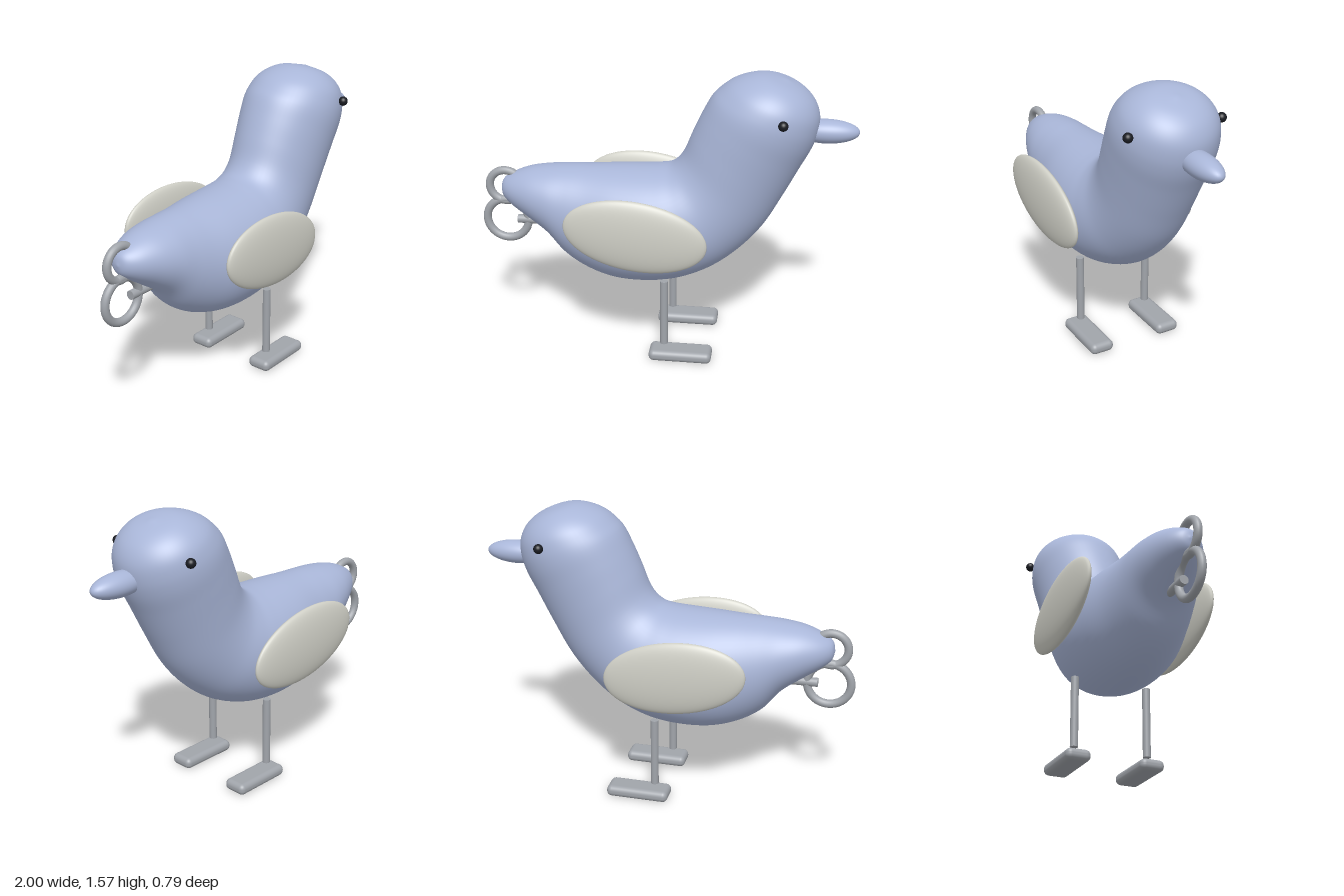
import * as THREE from 'three';
import { mergeVertices } from 'three/addons/utils/BufferGeometryUtils.js';
import { RoundedBoxGeometry } from 'three/addons/geometries/RoundedBoxGeometry.js';

const mat = (name, color) => {
  const m = new THREE.MeshStandardMaterial({ color });
  m.name = name;
  return m;
};

// Body cross-sections from tail to crown: upper x, y, lower x, y, half width
const SECTIONS = [
  [-0.885, 0.88, -0.885, 0.88, 0],
  [-0.87, 0.93, -0.87, 0.83, 0.05],
  [-0.82, 0.965, -0.82, 0.785, 0.1],
  [-0.73, 1.0, -0.71, 0.71, 0.155],
  [-0.62, 1.018, -0.62, 0.64, 0.19],
  [-0.5, 1.027, -0.53, 0.53, 0.215],
  [-0.4, 1.03, -0.42, 0.455, 0.24],
  [-0.25, 1.037, -0.27, 0.405, 0.28],
  [-0.12, 1.042, -0.1, 0.395, 0.298],
  [-0.03, 1.048, 0.08, 0.42, 0.295],
  [0.03, 1.06, 0.26, 0.495, 0.275],
  [0.07, 1.09, 0.41, 0.61, 0.25],
  [0.105, 1.14, 0.53, 0.75, 0.24],
  [0.15, 1.25, 0.63, 0.93, 0.246],
  [0.2, 1.36, 0.71, 1.09, 0.257],
  [0.25, 1.45, 0.765, 1.2, 0.264],
  [0.29, 1.49, 0.79, 1.28, 0.258],
  [0.34, 1.527, 0.795, 1.36, 0.238],
  [0.41, 1.556, 0.772, 1.43, 0.195],
  [0.5, 1.57, 0.72, 1.49, 0.125],
  [0.622, 1.548, 0.622, 1.548, 0],
];

// Smooth skin through the elliptical sections
function bodyGeometry(rings = 120, sides = 64) {
  const upper = new THREE.CatmullRomCurve3(
    SECTIONS.map(([x, y, , , w]) => new THREE.Vector3(x, y, w)), false, 'centripetal');
  const lower = new THREE.CatmullRomCurve3(
    SECTIONS.map(([, , x, y, w]) => new THREE.Vector3(x, y, w)), false, 'centripetal');
  const pos = [], index = [];
  for (let i = 0; i <= rings; i++) {
    const t = upper.getPoint(i / rings), b = lower.getPoint(i / rings);
    const w = Math.max(0, (t.z + b.z) / 2);
    for (let j = 0; j < sides; j++) {
      const a = (j / sides) * Math.PI * 2, c = Math.cos(a) / 2;
      pos.push((t.x + b.x) / 2 + (t.x - b.x) * c, (t.y + b.y) / 2 + (t.y - b.y) * c, w * Math.sin(a));
      if (i === rings) continue;
      const p = i * sides + j, q = i * sides + (j + 1) % sides;
      index.push(p, q, p + sides, q, q + sides, p + sides);
    }
  }
  let g = new THREE.BufferGeometry();
  g.setAttribute('position', new THREE.Float32BufferAttribute(pos, 3));
  g.setIndex(index);
  g = mergeVertices(g, 1e-5);
  g.computeVertexNormals();
  return g;
}

export function createModel() {
  const bird = new THREE.Group();
  bird.name = 'bird';
  const blue = mat('body blue', 0xa9b6d8);
  const cream = mat('wing cream', 0xcfcfc6);
  const grey = mat('metal grey', 0xa0a4aa);
  const black = mat('eye black', 0x1a1c22);

  const add = (name, geometry, material, x = 0, y = 0, z = 0) => {
    const mesh = new THREE.Mesh(geometry, material);
    mesh.name = name;
    mesh.position.set(x, y, z);
    bird.add(mesh);
    return mesh;
  };
  const ellipsoid = (a, b, c) => new THREE.SphereGeometry(1, 48, 32).scale(a, b, c);

  add('body', bodyGeometry(), blue);
  add('beak', ellipsoid(0.17, 0.062, 0.07), blue, 0.83, 1.28);

  // Paired parts on both sides
  for (const s of [1, -1]) {
    const side = s > 0 ? 'Front' : 'Back';
    add('wing' + side, ellipsoid(0.373, 0.195, 0.05), cream, -0.11, 0.787, s * 0.343).rotation.z = -0.14;
    add('eye' + side, ellipsoid(0.025, 0.025, 0.025), black, 0.615, 1.39, s * 0.26);
    add('leg' + side, new THREE.CylinderGeometry(0.021, 0.021, 0.38, 24), grey, 0.025, 0.28, s * 0.205);
    add('foot' + side, new RoundedBoxGeometry(0.34, 0.062, 0.134, 5, 0.028), grey, 0.115, 0.033, s * 0.205);
  }

  // Wind-up key: two rings and a short shaft
  add('keyRingLower', new THREE.TorusGeometry(0.115, 0.022, 16, 48), grey, -0.863, 0.692);
  add('keyRingUpper', new THREE.TorusGeometry(0.088, 0.022, 16, 48), grey, -0.865, 0.887);
  add('keyShaft', new THREE.CylinderGeometry(0.024, 0.024, 0.2, 24).rotateZ(Math.PI / 2), grey, -0.705, 0.693);

  return bird;
}
